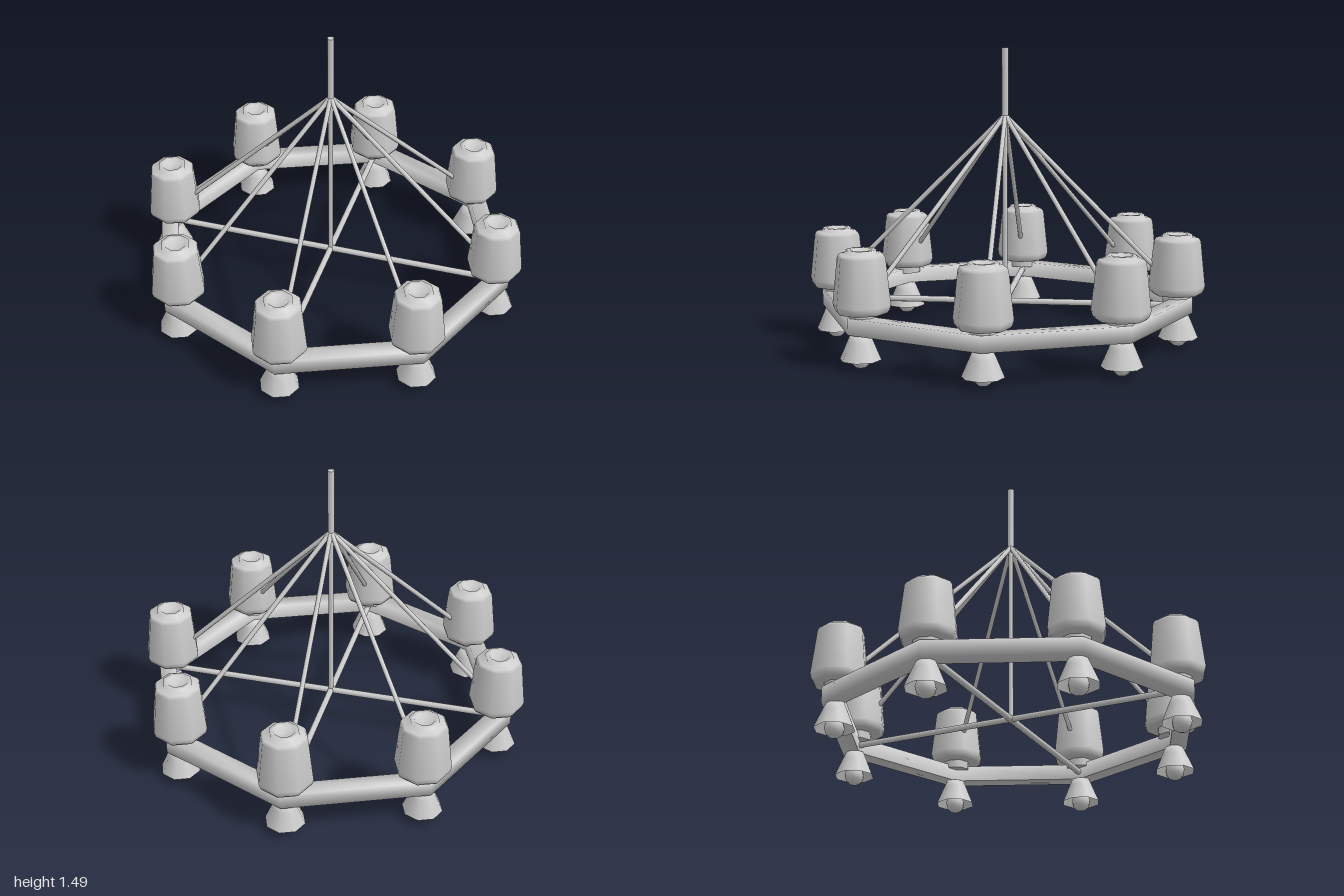
import * as THREE from 'three';

const SIDES = 8;
const LAMPS = 8;
const LAMP_RADIUS = 0.86;

const grey = new THREE.MeshStandardMaterial({ color: 0xcccccc });
const greyDouble = new THREE.MeshStandardMaterial({ color: 0xcccccc, side: THREE.DoubleSide });

function named(name, geometry, material = grey) {
  const mesh = new THREE.Mesh(geometry, material);
  mesh.name = name;
  return mesh;
}

// Turned part; profile runs from bottom to top as [radius, height]
function turned(name, profile, material) {
  const points = profile.map(([r, y]) => new THREE.Vector2(r, y));
  return named(name, new THREE.LatheGeometry(points, SIDES), material);
}

// Straight round bar between two points
function rod(name, from, to, radius) {
  const a = new THREE.Vector3(...from);
  const dir = new THREE.Vector3(...to).sub(a);
  const mesh = named(name, new THREE.CylinderGeometry(radius, radius, dir.length(), SIDES));
  mesh.position.copy(a).addScaledVector(dir, 0.5);
  mesh.quaternion.setFromUnitVectors(new THREE.Vector3(0, 1, 0), dir.normalize());
  return mesh;
}

// One lamp on the +z side of the ring
function createLamp() {
  const lamp = new THREE.Group();
  lamp.name = 'lamp';

  const shade = turned('shade', [
    [0, 0.27], [0.122, 0.27], [0.133, 0.285], [0.14, 0.31], [0.127, 0.43],
    [0.116, 0.535], [0.106, 0.55], [0.073, 0.555], [0.073, 0.57],
    [0.052, 0.57], [0.042, 0.555], [0, 0.55],
  ]);
  const neck = named('neck', new THREE.CylinderGeometry(0.07, 0.07, 0.05, SIDES));
  neck.position.y = 0.255;
  shade.position.z = neck.position.z = LAMP_RADIUS;

  // Downward bell, open below, with its bulb
  const bell = turned('bell', [
    [0.1, 0.045], [0.083, 0.085], [0.062, 0.135], [0.046, 0.17], [0, 0.17],
  ], greyDouble);
  const bulb = named('bulb', new THREE.SphereGeometry(0.05, SIDES, 6));
  bulb.position.y = 0.05;
  bell.position.z = bulb.position.z = 0.87;

  lamp.add(shade, neck, bell, bulb);
  return lamp;
}

export function createModel() {
  const chandelier = new THREE.Group();
  chandelier.name = 'chandelier';

  // Eight-sided ring with a rectangular section
  chandelier.add(turned('ring', [
    [0.847, 0.17], [0.94, 0.17], [0.94, 0.25], [0.847, 0.25], [0.847, 0.17],
  ]));

  // Hanging pole and the thinner stem down to the hub
  chandelier.add(rod('pole', [0, 1.15, 0], [0, 1.485, 0], 0.017));
  chandelier.add(rod('stem', [0, 0.195, 0], [0, 1.15, 0], 0.013));

  // Lamps with their slanted stays
  for (let i = 0; i < LAMPS; i++) {
    const arm = new THREE.Group();
    arm.name = 'lampArm';
    arm.rotation.y = (i / LAMPS) * Math.PI * 2;
    arm.add(createLamp(), rod('stay', [0, 1.15, 0], [0, 0.3, 0.85], 0.012));
    chandelier.add(arm);
  }

  // Two level bars crossing the ring
  chandelier.add(rod('crossBarX', [-0.88, 0.21, 0], [0.88, 0.21, 0], 0.016));
  chandelier.add(rod('crossBarZ', [0, 0.21, -0.88], [0, 0.21, 0.88], 0.016));

  return chandelier;
}
